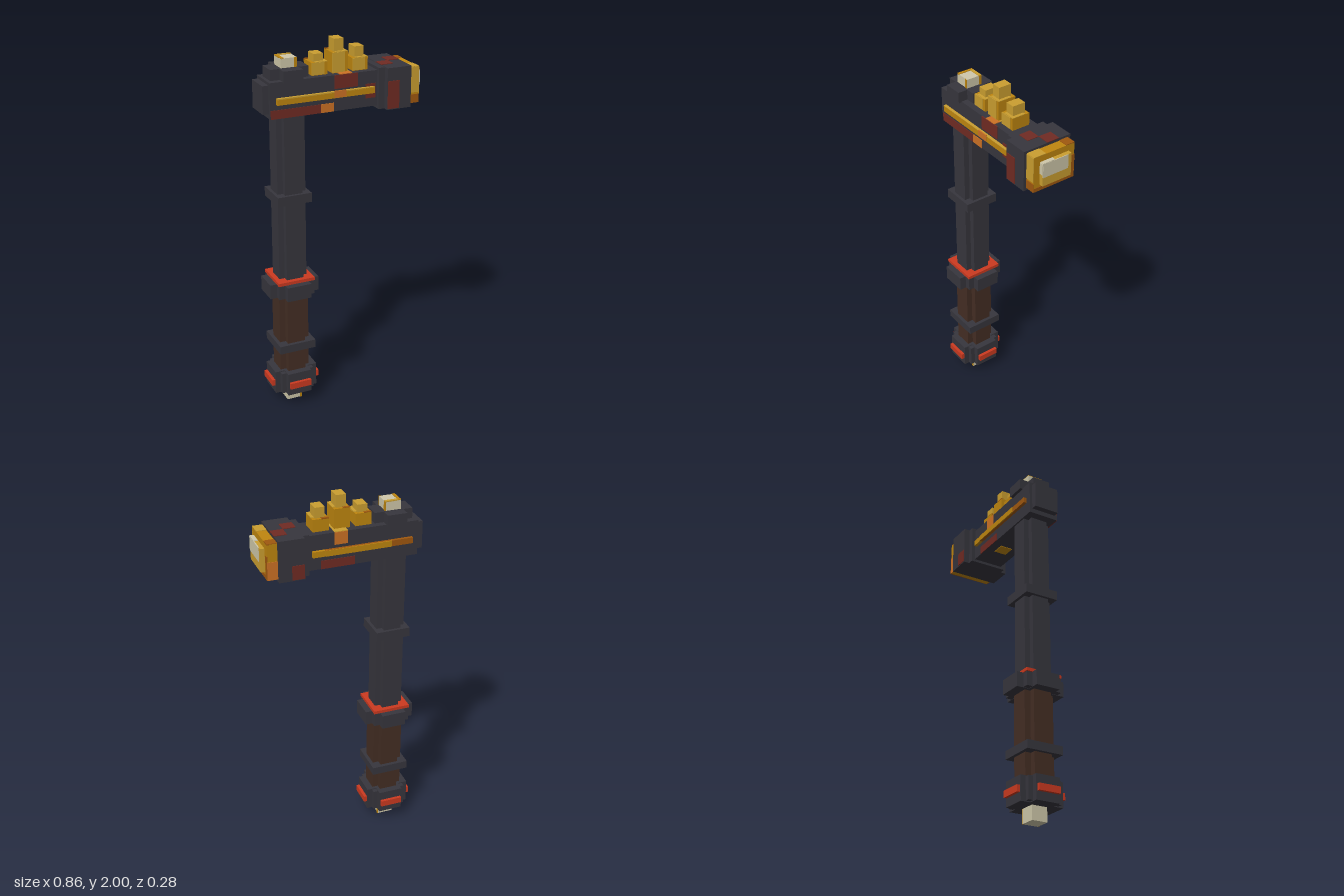
import * as THREE from 'three';

const mat = (name, color) => {
  const m = new THREE.MeshStandardMaterial({ color });
  m.name = name;
  return m;
};

export function createModel() {
  const iron = mat('dark iron', 0x37363d);
  const leather = mat('brown grip', 0x442e24);
  const red = mat('bright red', 0xcc3a20);
  const maroon = mat('maroon', 0x702b23);
  const gold = mat('gold', 0xbf860f);
  const lightGold = mat('light gold', 0xcb9f30);
  const amber = mat('amber', 0xa0580f);
  const orange = mat('orange', 0xcd7225);
  const cream = mat('cream', 0xcfc8aa);

  const root = new THREE.Group();
  root.name = 'hammer';
  const group = (name) => {
    const g = new THREE.Group();
    g.name = name;
    root.add(g);
    return g;
  };
  // Box given by its lower and upper limits on each axis
  const box = (parent, name, m, x0, x1, y0, y1, z0, z1) => {
    const mesh = new THREE.Mesh(new THREE.BoxGeometry(x1 - x0, y1 - y0, z1 - z0), m);
    mesh.position.set((x0 + x1) / 2, (y0 + y1) / 2, (z0 + z1) / 2);
    mesh.name = name;
    parent.add(mesh);
    return mesh;
  };
  const T = 0.003; // half thickness of painted plates
  const paintZ = (p, n, m, x0, x1, y0, y1, z) => box(p, n, m, x0, x1, y0, y1, z - T, z + T);
  const paintY = (p, n, m, x0, x1, z0, z1, y) => box(p, n, m, x0, x1, y - T, y + T, z0, z1);
  const paintX = (p, n, m, y0, y1, z0, z1, x) => box(p, n, m, x - T, x + T, y0, y1, z0, z1);

  // Handle: square and cross-shaped sections around one axis
  const CX = -0.277;
  const handle = group('handle');
  const square = (name, m, r, y0, y1) => box(handle, name, m, CX - r, CX + r, y0, y1, -r, r);
  const cross = (name, m, r, w, y0, y1) => {
    box(handle, name, m, CX - r, CX + r, y0, y1, -w, w);
    box(handle, name, m, CX - w, CX + w, y0, y1, -r, r);
  };
  cross('grip', leather, 0.083, 0.05, 0.2, 0.66);
  cross('shaft', iron, 0.077, 0.047, 0.73, 1.65);
  square('gripRing', iron, 0.102, 0.33, 0.375);
  square('shaftRing', iron, 0.093, 1.18, 1.23);
  cross('collar', iron, 0.137, 0.067, 0.655, 0.735);
  square('collarCore', iron, 0.1, 0.657, 0.733);
  square('collarTrim', red, 0.102, 0.735, 0.752);
  cross('pommel', iron, 0.12, 0.067, 0.075, 0.205);
  square('pommelCore', iron, 0.092, 0.08, 0.2);
  cross('pommelStuds', red, 0.137, 0.06, 0.12, 0.155);
  square('pommelTip', cream, 0.043, 0, 0.08);
  paintZ(handle, 'tipEdge', gold, CX + 0.03, CX + 0.043, 0, 0.075, 0.043);
  paintX(handle, 'tipEdge', gold, 0, 0.075, -0.043, -0.03, CX + 0.043);

  // Head body with end plate
  const head = group('head');
  box(head, 'headBody', iron, -0.398, 0.19, 1.645, 1.83, -0.085, 0.085);
  box(head, 'endPlate', iron, -0.43, -0.395, 1.67, 1.815, -0.07, 0.07);
  paintY(head, 'topBand', lightGold, -0.022, 0.047, -0.085, 0.048, 1.83);
  paintY(head, 'topBandEnd', orange, -0.022, 0.047, 0.048, 0.085, 1.83);
  paintY(head, 'bottomPatch', gold, -0.02, 0.05, -0.035, 0.035, 1.645);
  paintZ(head, 'upperPatch', maroon, -0.052, 0.075, 1.76, 1.83, 0.085);
  paintZ(head, 'lowerPatch', maroon, -0.395, -0.128, 1.645, 1.69, 0.085);
  paintZ(head, 'lowerAccent', orange, -0.128, -0.055, 1.645, 1.69, 0.085);
  paintZ(head, 'sidePatch', maroon, 0.12, 0.175, 1.69, 1.765, 0.085);
  paintZ(head, 'backAccent', orange, -0.022, 0.047, 1.765, 1.83, -0.085);
  paintZ(head, 'backPatch', maroon, -0.06, 0.12, 1.645, 1.69, -0.085);

  // Rails along both sides
  box(head, 'frontRail', gold, -0.365, 0.165, 1.717, 1.748, 0.08, 0.102);
  paintY(head, 'railTop', lightGold, -0.365, 0.165, 0.086, 0.102, 1.748);
  paintZ(head, 'railAccent', orange, -0.06, 0.005, 1.72, 1.755, 0.102);
  box(head, 'backRailInner', gold, 0.1, 0.165, 1.717, 1.748, -0.102, -0.08);
  box(head, 'backRailOuter', amber, -0.365, 0.1, 1.717, 1.748, -0.102, -0.08);
  paintZ(head, 'backRailFace', gold, -0.25, 0.1, 1.717, 1.748, -0.102);

  // Striking block
  const striker = group('striker');
  box(striker, 'blockNeck', iron, 0.185, 0.23, 1.63, 1.845, -0.105, 0.105);
  box(striker, 'block', iron, 0.218, 0.352, 1.63, 1.847, -0.137, 0.137);
  paintY(striker, 'blockPatch', maroon, 0.285, 0.352, -0.07, 0, 1.847);
  paintY(striker, 'blockPatch', maroon, 0.218, 0.285, 0, 0.065, 1.847);
  paintZ(striker, 'blockPatch', maroon, 0.22, 0.285, 1.635, 1.78, 0.137);
  paintZ(striker, 'blockPatch', maroon, 0.22, 0.285, 1.635, 1.71, -0.137);

  // Gold striking face
  box(striker, 'facePlate', gold, 0.35, 0.405, 1.645, 1.833, -0.12, 0.12);
  paintY(striker, 'plateTopBack', amber, 0.352, 0.405, -0.12, -0.07, 1.833);
  paintY(striker, 'plateTopFront', lightGold, 0.352, 0.405, 0.05, 0.12, 1.833);
  paintZ(striker, 'plateSide', lightGold, 0.352, 0.405, 1.7, 1.833, 0.12);
  paintZ(striker, 'plateSideLow', amber, 0.352, 0.405, 1.645, 1.69, 0.12);
  paintZ(striker, 'plateBack', orange, 0.352, 0.405, 1.645, 1.74, -0.12);
  paintX(striker, 'plateEdgeLow', amber, 1.645, 1.665, -0.12, 0.12, 0.405);
  paintX(striker, 'plateEdgeBack', amber, 1.645, 1.77, -0.12, -0.1, 0.405);
  box(striker, 'faceBoss', lightGold, 0.4, 0.428, 1.677, 1.8, -0.085, 0.085);
  paintX(striker, 'bossPanel', cream, 1.725, 1.8, -0.065, 0.085, 0.428);
  paintY(striker, 'bossTop', cream, 0.408, 0.43, 0.015, 0.085, 1.8);
  paintZ(striker, 'bossSide', cream, 0.408, 0.43, 1.74, 1.8, 0.085);

  // Cross-shaped cap above the handle
  const cap = group('cap');
  box(cap, 'capBar', iron, -0.38, -0.177, 1.825, 1.885, -0.05, 0.05);
  box(cap, 'capBar', iron, -0.33, -0.227, 1.825, 1.884, -0.102, 0.102);
  box(cap, 'capGem', cream, -0.32, -0.236, 1.88, 1.933, -0.043, 0.043);
  paintY(cap, 'gemEdge', gold, -0.32, -0.305, -0.043, 0.043, 1.933);
  paintY(cap, 'gemEdge', lightGold, -0.305, -0.236, -0.043, -0.026, 1.933);
  paintZ(cap, 'gemEdge', gold, -0.25, -0.236, 1.885, 1.933, 0.043);
  paintX(cap, 'gemEdge', gold, 1.885, 1.933, -0.043, -0.028, -0.236);

  // Three stepped gold studs
  const studs = group('studs');
  for (const [x, y1, y2] of [[-0.117, 1.895, 1.935], [-0.005, 1.935, 2], [0.106, 1.895, 1.95]]) {
    box(studs, 'studBase', gold, x - 0.042, x + 0.042, 1.825, y1, -0.05, 0.05);
    paintY(studs, 'studLedge', lightGold, x - 0.025, x + 0.042, -0.025, 0.05, y1);
    paintY(studs, 'studLedgeBack', amber, x - 0.042, x - 0.005, -0.05, -0.036, y1);
    paintZ(studs, 'studFace', lightGold, x - 0.042, x + 0.025, 1.833, y1, 0.05);
    box(studs, 'studTop', lightGold, x - 0.026, x + 0.026, y1, y2, -0.035, 0.035);
  }
  return root;
}
